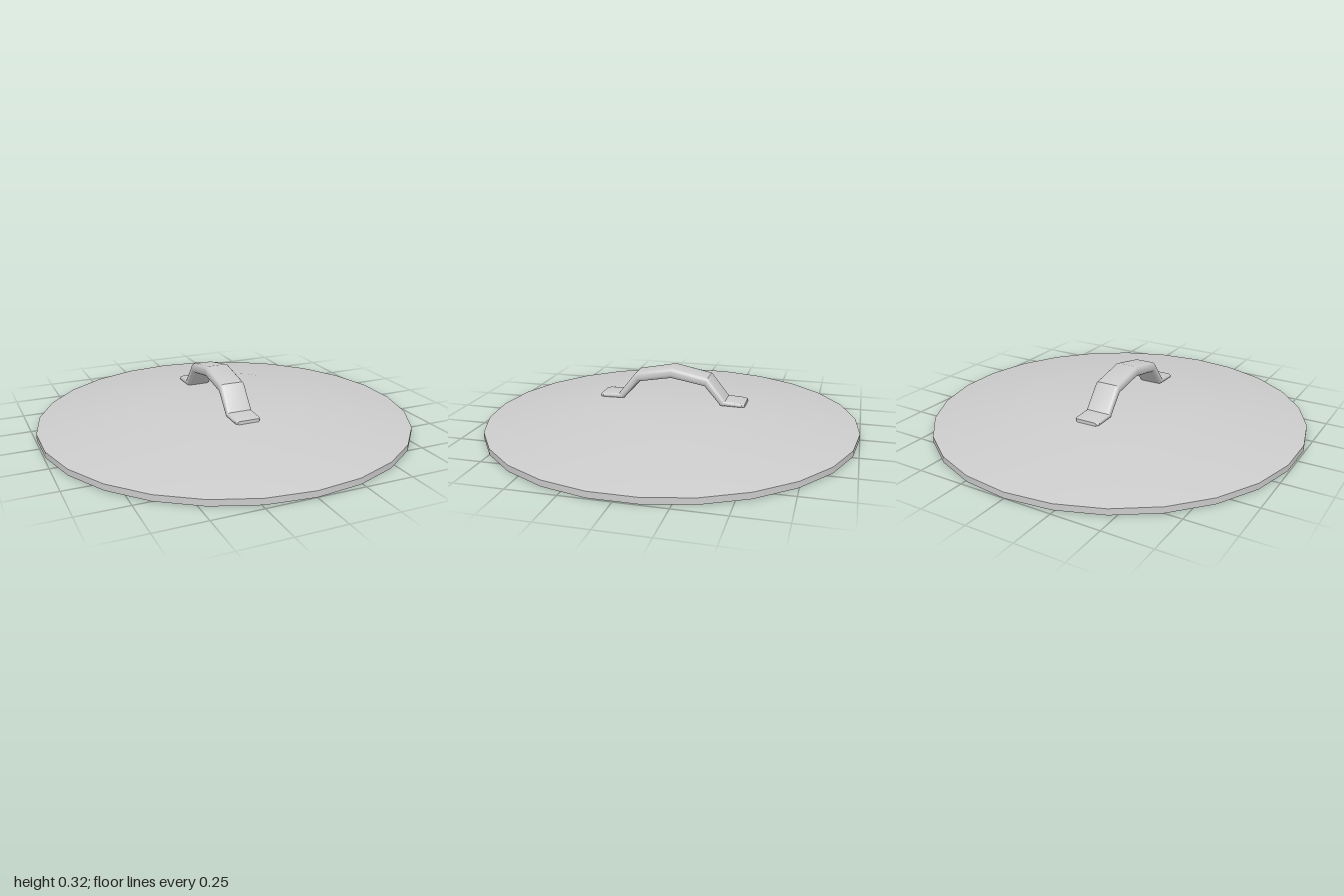
import * as THREE from 'three';
import { toCreasedNormals } from 'three/addons/utils/BufferGeometryUtils.js';

const grey = new THREE.MeshStandardMaterial({ color: 0xcccccc });

// Rounded-rectangle outline, counter-clockwise, as [x, t] with t from 0 (bottom) to 1 (top)
function outline(halfWidth, thickness) {
  const r = Math.min(0.02, thickness * 0.42), h = thickness / 2, points = [];
  for (let corner = 0; corner < 4; corner++) {
    const sx = corner === 0 || corner === 3 ? 1 : -1, sy = corner < 2 ? 1 : -1;
    for (let i = 0; i <= 3; i++) {
      const a = (corner + i / 3) * Math.PI / 2;
      const x = sx * (halfWidth - r) + r * Math.cos(a);
      const y = sy * (h - r) + r * Math.sin(a);
      points.push([x, (y + h) / thickness]);
    }
  }
  return points;
}

function handleGeometry() {
  // Half of the strap: [top z, top y, bottom z, bottom y, half width]
  const half = [
    [0.4, 0.147, 0.4, 0.13, 0.058],
    [0.385, 0.15, 0.385, 0.13, 0.069],
    [0.295, 0.157, 0.27, 0.13, 0.069],
    [0.2, 0.278, 0.182, 0.23, 0.069],
  ];
  const mirrored = half.map(([tz, ty, bz, by, w]) => [-tz, ty, -bz, by, w]).reverse();
  const stations = [...half, [0, 0.318, 0, 0.262, 0.069], ...mirrored];

  const positions = [], index = [];
  for (const [tz, ty, bz, by, w] of stations) {
    const thickness = Math.hypot(tz - bz, ty - by);
    for (const [x, t] of outline(w, thickness)) {
      positions.push(x, by + (ty - by) * t, bz + (tz - bz) * t);
    }
  }
  const n = 16, last = (stations.length - 1) * n;
  for (let s = 0; s < last; s += n) {
    for (let i = 0; i < n; i++) {
      const a = s + i, b = s + (i + 1) % n;
      index.push(a, a + n, b, b, a + n, b + n);
    }
  }
  // End caps
  for (let i = 1; i < n - 1; i++) {
    index.push(0, i, i + 1, last, last + i + 1, last + i);
  }
  const geometry = new THREE.BufferGeometry();
  geometry.setAttribute('position', new THREE.Float32BufferAttribute(positions, 3));
  geometry.setIndex(index);
  return toCreasedNormals(geometry, 0.61);
}

export function createModel() {
  const model = new THREE.Group();
  model.name = 'potLid';

  // Solid lid: flat base, thin rim, shallow slope and flat crown
  const profile = [[0, 0], [1, 0], [1, 0.032], [0.44, 0.13], [0, 0.13]];
  const lidGeometry = new THREE.LatheGeometry(profile.map(([r, y]) => new THREE.Vector2(r, y)), 26);
  const lid = new THREE.Mesh(toCreasedNormals(lidGeometry, 0.6), grey);
  lid.name = 'lid';

  // Arched strap handle, set slightly off centre
  const handle = new THREE.Mesh(handleGeometry(), grey);
  handle.name = 'handle';
  handle.position.x = -0.042;

  model.add(lid, handle);
  return model;
}
